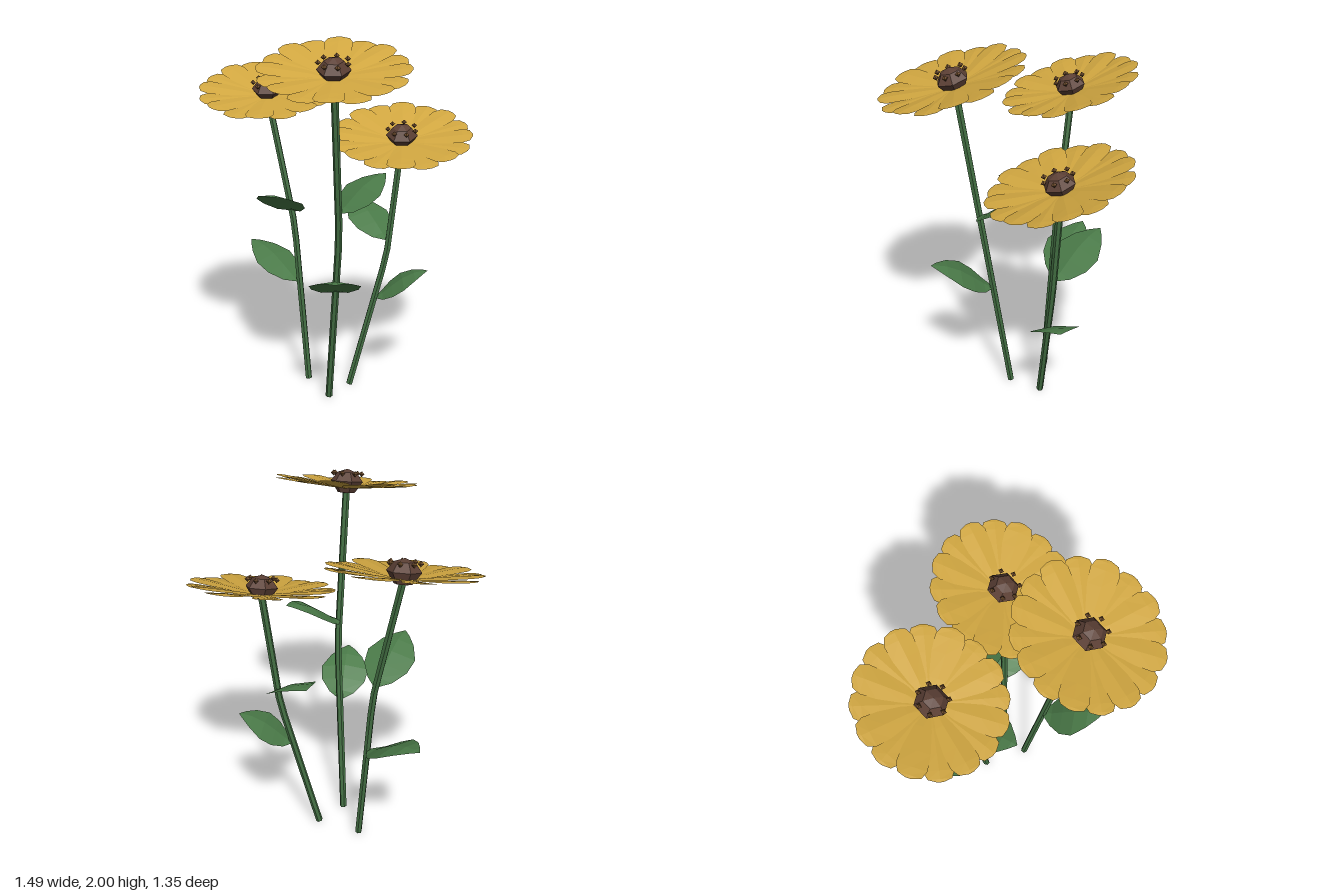
import * as THREE from 'three';
import { mergeGeometries } from 'three/addons/utils/BufferGeometryUtils.js';

const mat = (color, side = THREE.FrontSide) =>
  new THREE.MeshStandardMaterial({ color, side, flatShading: true, roughness: 0.9 });
const petalMat = mat(0xd0a640, THREE.DoubleSide);
const leafMat = mat(0x4a7a48, THREE.DoubleSide);
const stemMat = mat(0x436f43);
const discMat = mat(0x5c4035);
const seedMat = mat(0x6b4a2a);

function part(name, geometry, material) {
  const mesh = new THREE.Mesh(geometry, material);
  mesh.name = name;
  return mesh;
}

// Thin blade along +z; each row is [distance, height of midrib, half width, edge drop]
function blade(rows) {
  const pos = [], index = [];
  rows.forEach(([z, y, w, drop], i) => {
    pos.push(-w, y - drop, z, 0, y, z, w, y - drop, z);
    if (i === 0) return;
    for (let k = 0; k < 2; k++) {
      const a = (i - 1) * 3 + k, b = a + 3;
      index.push(a, b, a + 1, a + 1, b, b + 1);
    }
  });
  const geo = new THREE.BufferGeometry();
  geo.setAttribute('position', new THREE.Float32BufferAttribute(pos, 3));
  geo.setIndex(index);
  geo.computeVertexNormals();
  return geo;
}

// Two alternating layers of petals forming a shallow dish
function petalRing(count) {
  const petals = [];
  for (let i = 0; i < count; i++) {
    const low = i % 2 ? 0.012 : 0;
    const rows = [
      [0.03, 0.004, 0.018, 0], [0.12, 0.02, 0.042, 0.004], [0.24, 0.038, 0.068, 0.007],
      [0.32, 0.049, 0.074, 0.006], [0.36, 0.052, 0.056, 0.003], [0.375, 0.051, 0.014, 0],
    ].map(([z, y, w, d]) => [z, y - low * z / 0.375, w, d]);
    petals.push(blade(rows).rotateY((i / count) * Math.PI * 2));
  }
  return mergeGeometries(petals);
}

// Faceted centre and its ring of small seeds
function seedRing(count) {
  const seeds = [];
  for (let i = 0; i < count; i++) {
    const a = (i / count) * Math.PI * 2 + 0.35;
    seeds.push(new THREE.OctahedronGeometry(0.015)
      .translate(Math.cos(a) * 0.075, 0.08, Math.sin(a) * 0.075));
  }
  return mergeGeometries(seeds);
}

function flowerHead() {
  const head = new THREE.Group();
  head.name = 'flowerHead';
  const profile = [[0, -0.022], [0.045, -0.018], [0.085, 0.04], [0.05, 0.085], [0, 0.103]]
    .map(([x, y]) => new THREE.Vector2(x, y));
  head.add(
    part('petals', petalRing(16), petalMat),
    part('centreDisc', new THREE.LatheGeometry(profile, 6, Math.PI / 2), discMat),
    part('seeds', seedRing(7), seedMat),
  );
  head.rotation.x = 0.275;
  return head;
}

// Six-sided stem along a bent path of straight pieces
function stem(points) {
  const path = new THREE.CurvePath();
  for (let i = 1; i < points.length; i++) path.add(new THREE.LineCurve3(points[i - 1], points[i]));
  const geo = new THREE.TubeGeometry(path, 12, 0.019, 6, false);
  const cap = new THREE.CircleGeometry(0.019, 6).rotateX(Math.PI / 2)
    .translate(points[0].x, points[0].y + 0.003, points[0].z);
  return part('stem', mergeGeometries([geo, cap]), stemMat);
}

// Arching leaf from base to tip
function leaf(base, tip) {
  const dx = tip[0] - base[0], dz = tip[2] - base[2];
  const len = Math.hypot(dx, dz), rise = tip[1] - base[1];
  const rows = [
    [0, 0, 0.012, 0], [0.14, 0.16, 0.07, 0.012], [0.32, 0.44, 0.122, 0.018],
    [0.52, 0.72, 0.135, 0.02], [0.74, 0.92, 0.09, 0.014], [0.9, 0.99, 0.04, 0.006], [1, 1, 0.002, 0],
  ].map(([t, h, w, d]) => [t * len, h * rise, w, d]);
  const mesh = part('leaf', blade(rows), leafMat);
  mesh.position.set(...base);
  mesh.rotation.y = Math.atan2(dx, dz);
  return mesh;
}

export function createModel() {
  const group = new THREE.Group();
  group.name = 'flowers';
  const plants = [
    { name: 'rightFlower',
      stem: [[-0.14, 0, -0.18], [-0.22, 0.92, -0.245], [-0.372, 1.635, -0.333]],
      leaves: [[[-0.235, 1.0, -0.255], [-0.33, 1.17, 0.07]], [[-0.2, 0.59, -0.22], [-0.5, 0.76, -0.44]]] },
    { name: 'middleFlower',
      stem: [[-0.005, 0, 0.03], [0.06, 1.0, 0.175], [0.042, 1.84, 0.3]],
      leaves: [[[0.055, 1.13, 0.195], [0.29, 1.29, -0.02]], [[0.035, 0.67, 0.13], [0.06, 0.84, 0.46]]] },
    { name: 'leftFlower',
      stem: [[0.1, 0, -0.13], [0.3, 0.78, -0.165], [0.37, 1.42, -0.19]],
      leaves: [[[0.305, 0.87, -0.17], [0.08, 1.04, -0.44]], [[0.24, 0.53, -0.155], [0.53, 0.69, -0.18]]] },
  ];
  for (const p of plants) {
    const plant = new THREE.Group();
    plant.name = p.name;
    const points = p.stem.map((v) => new THREE.Vector3(...v));
    const head = flowerHead();
    head.position.copy(points[2]);
    plant.add(stem(points), head, ...p.leaves.map(([a, b]) => leaf(a, b)));
    group.add(plant);
  }
  return group;
}
